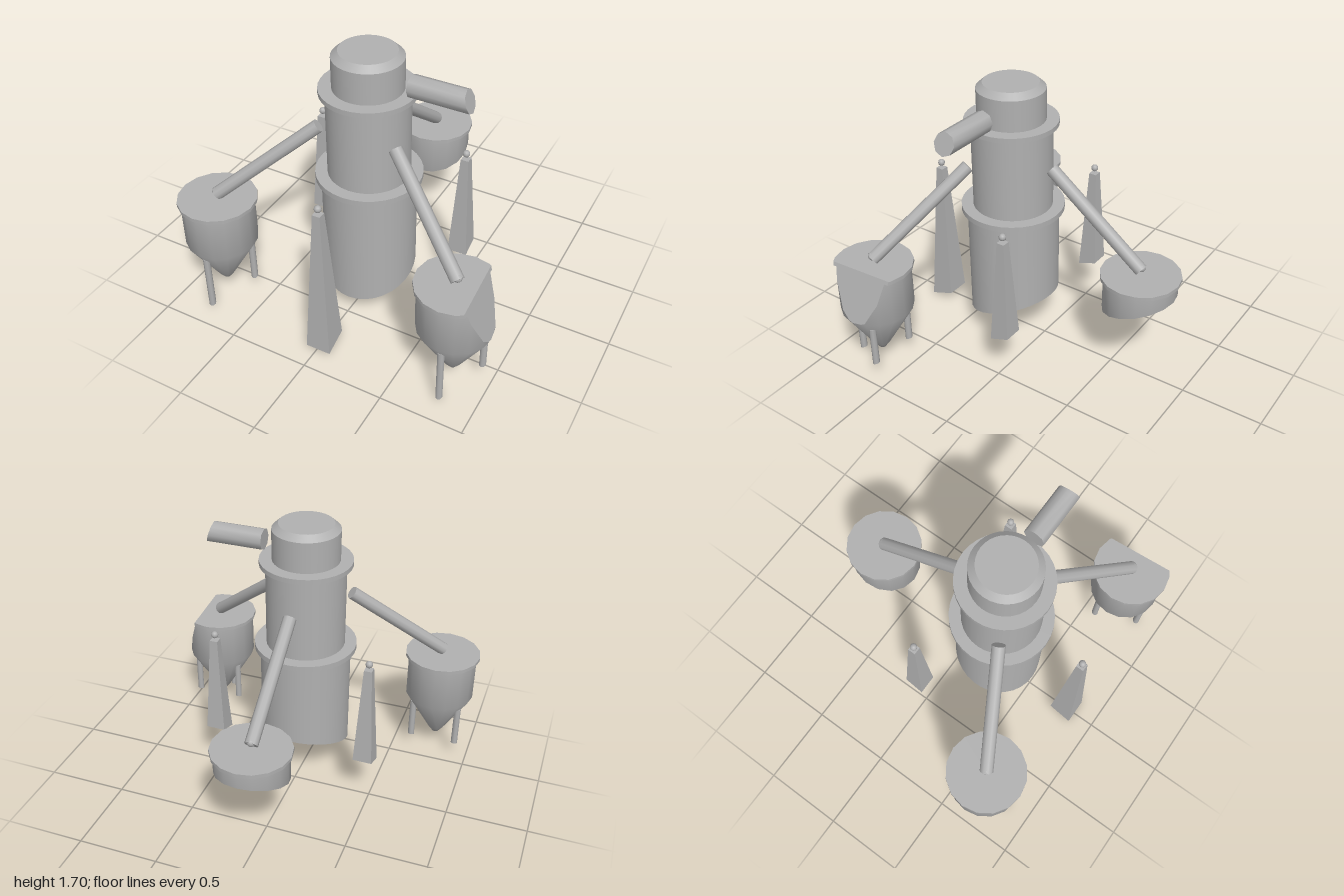
import * as THREE from 'three';
import { toCreasedNormals } from 'three/addons/utils/BufferGeometryUtils.js';

const CX = 0.01, CZ = 0.225; // tower axis

// Slanted planes that trim the underside and the right-hand end
const ground = new THREE.Plane(new THREE.Vector3(-0.008, 1, 0.345), -0.31);
const side = new THREE.Plane(new THREE.Vector3(-1, -0.317, 0.065), 1.093);

// Keep the part of a convex solid in front of a plane and close the section
function trim(geometry, plane) {
  const g = geometry.index ? geometry.toNonIndexed() : geometry;
  const p = g.attributes.position, n = g.attributes.normal;
  const pos = [], nor = [], rim = [];
  const emit = (v) => { pos.push(...v.p.toArray()); nor.push(...v.n.toArray()); };
  for (let i = 0; i < p.count; i += 3) {
    const tri = [0, 1, 2].map((k) => {
      const v = new THREE.Vector3().fromBufferAttribute(p, i + k);
      return { p: v, n: new THREE.Vector3().fromBufferAttribute(n, i + k), d: plane.normal.dot(v) + plane.constant };
    });
    const poly = [];
    tri.forEach((a, k) => {
      const b = tri[(k + 1) % 3];
      if (a.d >= 0) poly.push(a);
      if ((a.d >= 0) !== (b.d >= 0)) {
        const t = a.d / (a.d - b.d);
        const v = { p: a.p.clone().lerp(b.p, t), n: a.n.clone().lerp(b.n, t).normalize() };
        poly.push(v);
        rim.push(v.p);
      }
    });
    for (let k = 1; k + 1 < poly.length; k++) [poly[0], poly[k], poly[k + 1]].forEach(emit);
  }
  if (rim.length > 2) {
    const out = plane.normal.clone().normalize().negate();
    const u = new THREE.Vector3(0.3, 0.5, 0.8).cross(out).normalize();
    const w = out.clone().cross(u);
    const c = rim.reduce((s, v) => s.add(v), new THREE.Vector3()).divideScalar(rim.length);
    const angle = (v) => Math.atan2(v.clone().sub(c).dot(w), v.clone().sub(c).dot(u));
    rim.sort((a, b) => angle(a) - angle(b));
    rim.forEach((v, i) => [c, v, rim[(i + 1) % rim.length]].forEach((q) => emit({ p: q, n: out })));
  }
  const result = new THREE.BufferGeometry();
  result.setAttribute('position', new THREE.Float32BufferAttribute(pos, 3));
  result.setAttribute('normal', new THREE.Float32BufferAttribute(nor, 3));
  return result;
}

export function createModel() {
  const model = new THREE.Group();
  const grey = new THREE.MeshStandardMaterial({ color: 0xb0b0b0 });
  grey.name = 'plain grey';

  // Add a part unless the trim removes it completely
  const add = (parent, name, geometry) => {
    const g = trim(trim(geometry, ground), side);
    if (!g.attributes.position.count) return;
    const mesh = new THREE.Mesh(g, grey);
    mesh.name = name;
    parent.add(mesh);
  };
  const group = (name) => {
    const g = new THREE.Group();
    g.name = name;
    model.add(g);
    return g;
  };
  // Upright round solid between two heights
  const drum = (rBottom, rTop, y0, y1, x, z, sides) =>
    new THREE.CylinderGeometry(rTop, rBottom, y1 - y0, sides).translate(x, (y0 + y1) / 2, z);
  const ball = (r, x, y, z) => new THREE.SphereGeometry(r, 10, 8).translate(x, y, z);
  // Round bar between two points
  const bar = (a, b, r, sides) => {
    const d = b.clone().sub(a);
    const g = new THREE.CylinderGeometry(r, r, d.length(), sides);
    g.applyQuaternion(new THREE.Quaternion().setFromUnitVectors(new THREE.Vector3(0, 1, 0), d.normalize()));
    const m = a.clone().add(b).multiplyScalar(0.5);
    return g.translate(m.x, m.y, m.z);
  };

  // Stepped central tower
  const tower = group('tower');
  [
    ['lowerBody', 0.28, 0.28, 0, 0.89],
    ['lowerFlange', 0.315, 0.315, 0.888, 0.922],
    ['upperBody', 0.243, 0.243, 0.92, 1.452],
    ['upperFlange', 0.28, 0.28, 1.45, 1.48],
    ['cap', 0.204, 0.204, 1.478, 1.67],
    ['capChamfer', 0.204, 0.165, 1.67, 1.705],
  ].forEach(([name, r0, r1, y0, y1]) => add(tower, name, drum(r0, r1, y0, y1, CX, CZ, 32)));

  // Side outlet beside the cap
  add(model, 'outletPipe', bar(new THREE.Vector3(0.273, 1.558, CZ), new THREE.Vector3(0.85, 1.558, CZ), 0.066, 8));

  // Three hoppers around the tower, each fed by a sloping chute
  const profile = [[0, 0.105], [0.02, 0.11], [0.05, 0.15], [0.219, 0.43], [0.219, 0.72], [0, 0.72]]
    .map(([r, y]) => new THREE.Vector2(r, y));
  [30, 150, 270].forEach((deg, i) => {
    const a = THREE.MathUtils.degToRad(deg), c = Math.cos(a), s = Math.sin(a);
    const x = CX + 0.9 * c, z = CZ + 0.9 * s;
    const hopper = group(['leftHopper', 'rightHopper', 'backHopper'][i]);
    add(hopper, 'bin', toCreasedNormals(new THREE.LatheGeometry(profile, 16), 1).translate(x, 0, z));
    add(hopper, 'binRim', drum(0.238, 0.238, 0.712, 0.735, x, z, 16));
    add(hopper, 'chute', bar(new THREE.Vector3(CX + 0.283 * c, 1.225, CZ + 0.283 * s), new THREE.Vector3(x, 0.757, z), 0.04, 10));
    add(hopper, 'chuteBall', ball(0.026, x, 0.775, z));
    for (const legDeg of [90, 210, 330]) {
      const b = THREE.MathUtils.degToRad(legDeg);
      add(hopper, 'leg', drum(0.021, 0.021, -0.05, 0.375, x + 0.17 * Math.cos(b), z + 0.17 * Math.sin(b), 8));
    }
  });

  // Tapered square pillars between the hoppers
  [90, 210, 330].forEach((deg) => {
    const a = THREE.MathUtils.degToRad(deg);
    const x = CX + 0.56 * Math.cos(a), z = CZ + 0.56 * Math.sin(a);
    const pillar = group('pillar');
    const shaft = new THREE.CylinderGeometry(0.024 * Math.SQRT2, 0.0785 * Math.SQRT2, 0.98, 4).rotateY(Math.PI / 4);
    add(pillar, 'pillarShaft', toCreasedNormals(shaft, 0.3).translate(x, 0.49, z));
    add(pillar, 'pillarBall', ball(0.022, x, 1.015, z));
  });

  return model;
}
